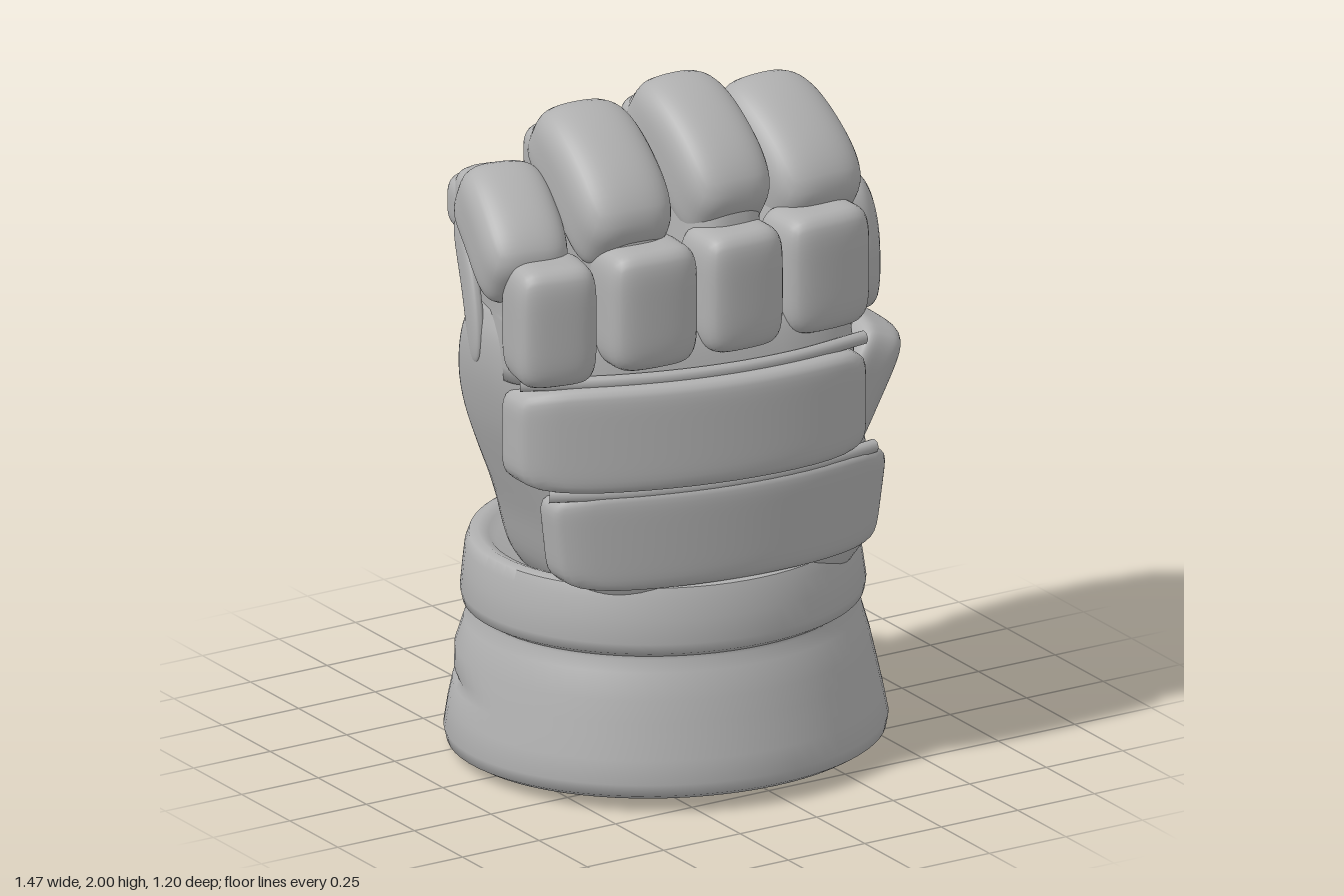
import * as THREE from 'three';
import { mergeVertices, toCreasedNormals } from 'three/addons/utils/BufferGeometryUtils.js';

const grey = new THREE.MeshStandardMaterial({ color: 0xb0b0b0 });
grey.name = 'grey leather';

function part(name, geometry, parent) {
  const mesh = new THREE.Mesh(geometry, grey);
  mesh.name = name;
  parent.add(mesh);
  return mesh;
}

// Move every vertex by a rule
function warp(geometry, rule) {
  const p = geometry.attributes.position;
  const v = new THREE.Vector3();
  for (let i = 0; i < p.count; i++) {
    v.fromBufferAttribute(p, i);
    rule(v);
    p.setXYZ(i, v.x, v.y, v.z);
  }
  return geometry;
}

function smooth(geometry) {
  geometry.deleteAttribute('normal');
  geometry.deleteAttribute('uv');
  const g = mergeVertices(geometry, 1e-5);
  g.computeVertexNormals();
  return g;
}

// Padded block with soft edges; a, b, c are half sizes
function pillow(a, b, c, rule = () => {}, n = 5) {
  const g = new THREE.BoxGeometry(2, 2, 2, 16, 16, 10);
  warp(g, v => {
    const m = Math.max(Math.abs(v.x), Math.abs(v.y), Math.abs(v.z));
    const len = (Math.abs(v.x) ** n + Math.abs(v.y) ** n + Math.abs(v.z) ** n) ** (1 / n);
    v.multiplyScalar(m / len);
    v.set(v.x * a, v.y * b, v.z * c);
    rule(v);
  });
  return smooth(g);
}

// Closed loft through sections [y, x0, x1, zBack, zFront]; squareness for front and back halves
function loft(sections, front, back, rule = () => {}) {
  const A = new THREE.CatmullRomCurve3(sections.map(s => new THREE.Vector3(s[0], s[1], s[2])));
  const B = new THREE.CatmullRomCurve3(sections.map(s => new THREE.Vector3(0, s[3], s[4])));
  const rows = sections.length * 4, cols = 64, pos = [], index = [];
  for (let i = -1; i <= rows + 1; i++) {
    const t = THREE.MathUtils.clamp(i / rows, 0, 1);
    const a = A.getPoint(t), b = B.getPoint(t);
    const k = i < 0 || i > rows ? 0 : 1;
    for (let j = 0; j < cols; j++) {
      const ang = j / cols * Math.PI * 2;
      const se = c => Math.sign(c) * Math.abs(c) ** (2 / (j < cols / 2 ? front : back));
      pos.push((a.y + a.z) / 2 + k * (a.z - a.y) / 2 * se(Math.cos(ang)), a.x,
        (b.y + b.z) / 2 + k * (b.z - b.y) / 2 * se(Math.sin(ang)));
    }
  }
  for (let i = 0; i < rows + 2; i++) for (let j = 0; j < cols; j++) {
    const p = i * cols + j, q = i * cols + (j + 1) % cols;
    index.push(p, p + cols, q, q, p + cols, q + cols);
  }
  const g = new THREE.BufferGeometry();
  g.setAttribute('position', new THREE.Float32BufferAttribute(pos, 3));
  g.setIndex(index);
  return smooth(warp(g, rule));
}

// Bow of the back of the hand
const bow = x => -0.4 * (x - 0.05) ** 2;

function cuff(parent) {
  const profile = [[0, 0], [0.59, 0], [0.615, 0.015], [0.622, 0.05], [0.61, 0.12], [0.597, 0.185], [0.593, 0.205],
    [0.589, 0.225], [0.576, 0.29], [0.555, 0.37], [0.538, 0.405], [0.538, 0.415], [0.562, 0.43], [0.568, 0.46],
    [0.56, 0.53], [0.552, 0.59], [0.54, 0.622], [0.515, 0.63], [0.485, 0.618], [0.465, 0.6], [0, 0.59]];
  const g = new THREE.LatheGeometry(profile.map(p => new THREE.Vector2(...p)), 72);
  warp(g, v => {
    const back = THREE.MathUtils.smoothstep(-v.z, -0.05, 0.25);
    // seam and extra roll on the wrist side
    const s = 1 + back * (0.02 * Math.exp(-(((v.y - 0.31) / 0.06) ** 2)) - 0.02 * Math.exp(-(((v.y - 0.205) / 0.015) ** 2)));
    const f = THREE.MathUtils.clamp(v.y / 0.6, 0, 1);
    v.y += (0.02 + v.z * 0.034) * (1 - f) + f * v.z * 0.02;
    v.x = v.x * s - 0.02;
    v.z = v.z * s * 0.965 - 0.022 * f;
  });
  part('cuff', toCreasedNormals(g, 0.9), parent);
}

function hand(parent) {
  part('palmBody', loft([
    [0.57, -0.45, 0.39, -0.28, 0.45], [0.65, -0.505, 0.45, -0.29, 0.48], [0.8, -0.555, 0.445, -0.28, 0.505],
    [0.95, -0.61, 0.41, -0.22, 0.51], [1.1, -0.66, 0.375, -0.11, 0.51], [1.25, -0.69, 0.355, 0.0, 0.5],
    [1.36, -0.69, 0.345, 0.06, 0.47], [1.43, -0.67, 0.32, 0.11, 0.42]], 5.5, 2.7,
  v => {
    const palm = 0.8 * THREE.MathUtils.smoothstep(v.y, 0.75, 1.3);
    v.z += bow(v.x) * THREE.MathUtils.lerp(palm, 1, THREE.MathUtils.smoothstep(v.z, -0.1, 0.35));
  }), parent);

  // Pads across the back of the hand
  const follow = cx => v => { v.z += bow(v.x + cx); };
  part('knucklePlate', pillow(0.505, 0.155, 0.085, follow(-0.185), 7), parent).position.set(-0.185, 1.1, 0.478);
  part('wristPlate', pillow(0.495, 0.15, 0.07, v => {
    v.x *= 1 + v.y * 0.25;
    v.z += v.y * 0.07;
    follow(-0.085)(v);
  }, 7), parent).position.set(-0.085, 0.785, 0.447);

  // Piping beside the knuckle plate
  for (const [y, x0, x1] of [[0.932, -0.61, 0.37], [1.262, -0.68, 0.33]]) {
    const pts = [0, 0.25, 0.5, 0.75, 1].map(t => {
      const x = x0 + (x1 - x0) * t;
      return new THREE.Vector3(x, y, 0.5 + bow(x));
    });
    part('piping', new THREE.TubeGeometry(new THREE.CatmullRomCurve3(pts), 32, 0.02, 8), parent);
  }

  // Palm side patches
  const patch = part('palmPatch', pillow(0.31, 0.25, 0.03, v => { v.z -= v.x * v.x * 0.1; }, 3), parent);
  patch.position.set(-0.1, 1.08, -0.105);
  patch.rotation.x = 0.62;
  part('heelPad', pillow(0.29, 0.12, 0.03, v => { v.z += v.x * v.x * 0.5; }, 4), parent).position.set(-0.06, 0.76, -0.28);
}

function finger(parent, { name, x, z, turn, hw, top, base, len, topX }) {
  const f = new THREE.Group();
  f.name = name;
  f.position.set(x, 0, z);
  f.rotation.y = turn;
  parent.add(f);
  const w = hw * 0.95;
  part('fingerCore', loft([
    [1.25, -w, w, 0.08, 0.4], [1.42, -w, w, 0.06, 0.45], [top - 0.38, -w, w, 0.02, 0.44],
    [top - 0.24, -w, w, -0.03, 0.41], [top - 0.13, -w, w, -0.045, 0.3],
    [top - 0.07, -w * 0.85, w * 0.85, -0.02, 0.2], [top - 0.045, -w * 0.6, w * 0.6, 0.02, 0.14]], 3, 3,
  v => { v.x += topX * THREE.MathUtils.smoothstep(v.y, 1.4, 1.8); }), f);
  const upper = base + 0.35;
  part('lowerFingerPad', pillow(hw, (upper - base) / 2, 0.1, v => { v.z -= v.x * v.x * 0.8; }), f)
    .position.set(0, (base + upper) / 2, 0.43);
  const pad = part('upperFingerPad', pillow(hw + 0.008, len, 0.115, v => {
    v.z -= v.y * v.y * 0.8 + v.x * v.x * 1.2;
  }, 4), f);
  pad.position.set(topX, top - 0.155, 0.235);
  pad.rotation.x = -0.98;
  part('fingertipPad', pillow(hw * 0.9, 0.085, 0.06, undefined, 3.5), f).position.set(topX, top - 0.155, 0.015);
  // Side gussets
  for (const s of [-1, 1]) {
    const g = part('sideGusset', pillow(0.018, 0.2, 0.05, v => { v.z -= v.y * v.y * 0.8; }, 3), f);
    g.position.set(s * w + topX * 0.6, top - 0.36, 0.16);
    g.rotation.x = -0.4;
  }
}

function thumb(parent) {
  const t = new THREE.Group();
  t.name = 'thumb';
  parent.add(t);
  part('thumbCore', loft([
    [0.6, 0.12, 0.4, -0.27, 0.12], [0.8, 0.15, 0.5, -0.32, 0.15], [1.0, 0.22, 0.58, -0.355, 0.11],
    [1.16, 0.3, 0.64, -0.375, 0.05], [1.32, 0.345, 0.66, -0.375, 0.03], [1.43, 0.36, 0.655, -0.345, 0.0],
    [1.5, 0.4, 0.625, -0.29, -0.06], [1.53, 0.46, 0.57, -0.22, -0.13]], 2.6, 2.6), t);
  const tip = part('thumbTipPad', pillow(0.075, 0.2, 0.19, v => {
    v.x -= v.z * v.z * 1.4 + Math.max(0, v.y) ** 2 * 0.7;
    v.z *= 1 - Math.max(0, v.y) * 0.6;
  }, 4), t);
  tip.position.set(0.656, 1.315, -0.17);
  tip.rotation.z = 0.02;
  const low = part('thumbBasePad', pillow(0.085, 0.205, 0.265, v => {
    v.x -= v.z * v.z * 0.7;
    v.z *= 1 + v.y * 0.4;
  }, 5), t);
  low.position.set(0.578, 0.93, -0.12);
  low.rotation.z = -0.42;
  // Web joining thumb and palm
  const web = part('thumbWeb', pillow(0.13, 0.2, 0.15, undefined, 2.5), t);
  web.position.set(0.29, 0.97, -0.02);
  web.rotation.z = -0.2;
}

export function createModel() {
  const glove = new THREE.Group();
  glove.name = 'paddedGlove';
  cuff(glove);
  hand(glove);
  thumb(glove);
  const fingers = [
    { name: 'littleFinger', x: -0.505, z: -0.1, turn: -0.22, hw: 0.118, top: 1.82, base: 1.27, len: 0.195, topX: -0.042 },
    { name: 'ringFinger', x: -0.308, z: -0.025, turn: -0.08, hw: 0.137, top: 1.955, base: 1.3, len: 0.24, topX: -0.028 },
    { name: 'middleFinger', x: -0.07, z: 0, turn: 0, hw: 0.127, top: 1.99, base: 1.31, len: 0.24, topX: 0.02 },
    { name: 'indexFinger', x: 0.188, z: -0.01, turn: 0.05, hw: 0.14, top: 1.935, base: 1.31, len: 0.23, topX: 0.045 },
  ];
  for (const f of fingers) finger(glove, f);
  return glove;
}
